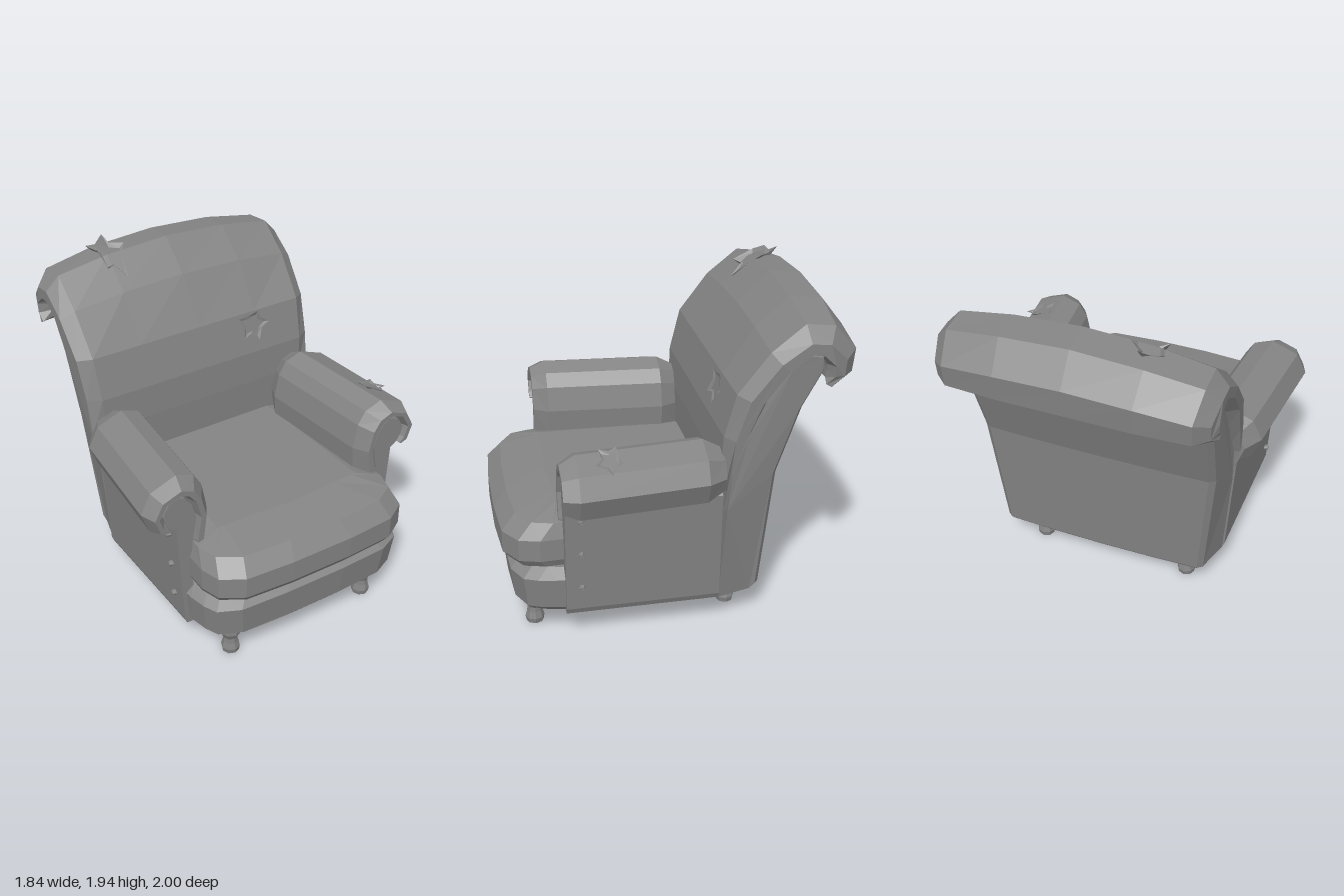
import * as THREE from 'three';

const fabric = new THREE.MeshStandardMaterial({ color: 0x848484, flatShading: true });
const thin = new THREE.MeshStandardMaterial({ color: 0x848484, flatShading: true, side: THREE.DoubleSide });
const clamp = THREE.MathUtils.clamp;
const lerp2 = (a, b, t) => a.map((p, i) => [p[0] + (b[i][0] - p[0]) * t, p[1] + (b[i][1] - p[1]) * t]);
// Closed strip between an outer and an inner profile, each pulled toward the other
const strip = (outer, inner, t, u) => [...lerp2(outer, inner, t), ...lerp2(inner, outer, u).reverse()];

// Skins closed rings of [x, y, z] points and caps both ends; u, v are the cap plane axes
function loft(rings, u, v) {
  const n = rings[0].length, tris = [];
  for (let k = 0; k < rings.length - 1; k++) {
    const a = rings[k], b = rings[k + 1];
    for (let i = 0; i < n; i++) {
      const j = (i + 1) % n;
      tris.push([a[i], a[j], b[j]], [a[i], b[j], b[i]]);
    }
  }
  const cap = (ring, flip) => {
    const pts = ring.map(p => new THREE.Vector2(p[u], p[v]));
    const dir = THREE.ShapeUtils.area(pts);
    for (const f of THREE.ShapeUtils.triangulateShape(pts, [])) {
      const same = THREE.ShapeUtils.area(f.map(i => pts[i])) * dir > 0;
      const t = f.map(i => ring[i]);
      tris.push(same !== flip ? t : t.reverse());
    }
  };
  cap(rings[0], true);
  cap(rings[rings.length - 1], false);
  // Turn the skin outward if it came out inside out
  let volume = 0;
  for (const [a, b, c] of tris) {
    volume += new THREE.Vector3(...a).dot(new THREE.Vector3(...b).cross(new THREE.Vector3(...c)));
  }
  if (volume < 0) tris.forEach(t => t.reverse());
  const g = new THREE.BufferGeometry();
  g.setAttribute('position', new THREE.Float32BufferAttribute(tris.flat(2), 3));
  g.computeVertexNormals();
  return g;
}

// Mirrored rounded-front outline at height y, pulled in by insets at the sides and front
function outline(half, y, inset, zIn = inset) {
  const right = half.map(([x, z]) => [x - inset, y, Math.max(z - zIn, Math.min(z, 0.66))]);
  return [...right, ...right.map(([x, yy, z]) => [-x, yy, z]).reverse()];
}

// Jagged torn patch with a curled lip; its lower half bends back over an edge
function tear(rx, ry, lift, bend) {
  const reach = [1, 0.6, 0.85, 0.65, 1.05, 0.62, 0.95, 0.5, 1, 0.58];
  const pos = [], idx = [], n = reach.length;
  reach.forEach((r, i) => {
    const a = (i / n) * Math.PI * 2 + 0.12 * Math.sin(i * 2.3);
    const x = Math.cos(a) * rx * r, y = Math.sin(a) * ry * r;
    const drop = bend * Math.max(0, -y);
    const h = i % 2 ? lift * 0.35 : lift * (i % 4 ? 1 : 0.5);
    pos.push(x * 0.7, y * 0.7, -drop * 0.7, x, y, h - drop);
    const p = 2 * i, q = 2 * ((i + 1) % n);
    idx.push(p, q, q + 1, p, q + 1, p + 1);
  });
  const g = new THREE.BufferGeometry();
  g.setAttribute('position', new THREE.Float32BufferAttribute(pos, 3));
  g.setIndex(idx);
  g.computeVertexNormals();
  return g;
}

export function createModel() {
  const group = new THREE.Group();
  const add = (name, geometry, material = fabric) => {
    const m = new THREE.Mesh(geometry, material);
    m.name = name;
    group.add(m);
    return m;
  };

  // Base with rounded front rail, narrowing to the rear
  const baseHalf = [[0.63, -0.46], [0.68, -0.24], [0.69, 0.64], [0.685, 0.7], [0.665, 0.8], [0.63, 0.88], [0.5, 0.94], [0.2, 0.955]];
  add('base', loft([[0.165, 0.05], [0.2, 0.02], [0.39, 0], [0.44, 0.06]]
    .map(([y, s]) => outline(baseHalf, y, s)), 0, 2));

  // Seat cushion with a soft top edge
  const seatHalf = [[0.64, -0.3], [0.66, 0.62], [0.665, 0.78], [0.63, 0.9], [0.5, 0.98], [0.2, 1.0]];
  add('seatCushion', loft([[0.43, 0.09, 0.1], [0.465, 0.02, 0.03], [0.51, 0, 0], [0.64, 0, 0],
    [0.73, 0.03, 0.08], [0.775, 0.18, 0.32]]
    .map(([y, s, z]) => outline(seatHalf, y, s, z)), 0, 2));

  // Scrolled backrest: profiles in (z, y), swept across x with a crowned top
  const backO = [[-0.24, 0.76], [-0.235, 1.0], [-0.245, 1.2], [-0.31, 1.45], [-0.49, 1.73], [-0.68, 1.905],
    [-0.87, 1.885], [-1.0, 1.71], [-0.985, 1.54], [-0.88, 1.47]];
  const backI = [[-0.27, 0.76], [-0.29, 0.98], [-0.385, 1.2], [-0.48, 1.4], [-0.61, 1.6], [-0.71, 1.69],
    [-0.78, 1.68], [-0.83, 1.62], [-0.83, 1.57], [-0.8, 1.52]];
  const crown = (x, y) => y - 0.07 * (x / 0.7) ** 2 * clamp((y - 1.5) / 0.35, 0, 1);
  const backRing = (x, t, u) => strip(backO, backI, t, u).map(([z, y]) => [
    x * (0.9 + 0.06 * clamp((y - 0.76) / 0.22, 0, 1) + 0.04 * clamp((y - 1) / 0.6, 0, 1)) * (z < -0.9 ? 0.97 : 1),
    crown(x, y),
    z < -0.8 ? z + 0.03 * (x / 0.75) ** 4 : z]);
  add('backrest', loft([[-0.8, 0.35, 0.25], [-0.72, 0, 0], [-0.4, 0, 0], [0, 0, 0], [0.4, 0, 0], [0.72, 0, 0], [0.8, 0.35, 0.25]]
    .map(r => backRing(...r)), 2, 1));

  // Recessed core of the back: widens upward, narrows rearward, bevelled down its rear edges
  const core = [...backI.slice(0, 7), [-0.82, 1.58], [-0.7, 1.34], [-0.57, 0.95], [-0.51, 0.2], [-0.48, 0.165],
    [-0.24, 0.165], [-0.24, 0.2]];
  const coreHalf = (z, y) => (y < 0.18 ? 0.685 : 0.7 + 0.042 * clamp((y - 0.2) / 0.66, 0, 1))
    - 0.06 * clamp((-0.24 - z) / 0.26, 0, 1) * clamp(1 - (y - 0.2) / 1.6, 0, 1);
  add('backPanel', loft([-1, -0.95, -0.5, 0, 0.5, 0.95, 1].map(f => core.map(([z, y], i) => [
    f * coreHalf(z, y),
    crown(f * 0.74, y),
    i > 6 && i < 12 ? z + (Math.abs(f) === 1 ? 0.04 : 0.015 * f * f) : z])), 2, 1));

  // Arm profiles in (x, y): rolled strip, and the core that runs down into the side panel
  const armO = [[0.54, 0.5], [0.52, 0.75], [0.51, 0.9], [0.54, 1.05], [0.59, 1.13], [0.7, 1.17],
    [0.86, 1.11], [0.92, 0.99], [0.87, 0.86], [0.81, 0.865]];
  const armI = [[0.65, 0.5], [0.64, 0.75], [0.61, 0.9], [0.64, 1.0], [0.68, 1.05], [0.72, 1.07],
    [0.78, 1.05], [0.82, 0.98], [0.805, 0.93], [0.78, 0.89]];
  const armCore = [...armI, [0.742, 0.86], [0.7, 0.2], [0.685, 0.165], [0.6, 0.165]];
  for (const s of [1, -1]) {
    const side = s > 0 ? 'left' : 'right';
    // The rolls lean inward toward the back
    const place = (pts, z, from) => pts.map(([x, y]) =>
      [s * (x - 0.07 * (0.6 - z) / 0.8 * clamp((y - from) / 0.03, 0, 1)), y, z]);
    add(side + 'Arm', loft([[-0.25, 0.6, 0], [-0.14, 0, 0], [0.58, 0, 0], [0.67, 0.45, 0.25]]
      .map(([z, t, u]) => place(strip(armO, armI, t, u), z, 0.6)), 0, 1));
    add(side + 'SidePanel', loft([-0.24, 0.65].map(z => place(armCore, z, 0.86)), 0, 1));

    // Upholstery studs
    for (const [x, y] of [[0.735, 0.78], [0.722, 0.565], [0.708, 0.345]]) {
      const stud = add(side + 'Stud', new THREE.CylinderGeometry(0.012, 0.022, 0.035, 6));
      stud.position.set(s * (x + 0.007), y, 0.56);
      stud.rotation.z = -s * Math.PI / 2;
    }

    // Turned legs
    const legProfile = [[0, 0], [0.05, 0], [0.056, 0.03], [0.045, 0.07], [0.042, 0.1], [0.062, 0.14], [0.06, 0.19], [0, 0.19]]
      .map(p => new THREE.Vector2(...p));
    for (const z of [0.81, -0.34]) {
      const leg = add(side + (z > 0 ? 'FrontLeg' : 'BackLeg'), new THREE.LatheGeometry(legProfile, 8));
      leg.position.set(s > 0 ? 0.45 : -0.495, 0, z);
    }
  }

  // Torn patches on the back, the top roll and one arm
  const tears = [
    ['backTear', 0.115, 0.105, 0.018, 0, [0.37, 1.37, -0.283], [-0.28, 0, 0]],
    ['topTear', 0.11, 0.17, 0.055, 0.85, [-0.38, 1.888, -0.7], [-Math.PI / 2, 0, 0.1]],
    ['armTear', 0.115, 0.085, 0.018, 0, [0.77, 1.148, 0.4], [-Math.PI / 2, 0.36, 0]],
  ];
  for (const [name, rx, ry, lift, bend, p, r] of tears) {
    const t = add(name, tear(rx, ry, lift, bend), thin);
    t.position.set(...p);
    t.rotation.set(...r);
  }
  return group;
}
